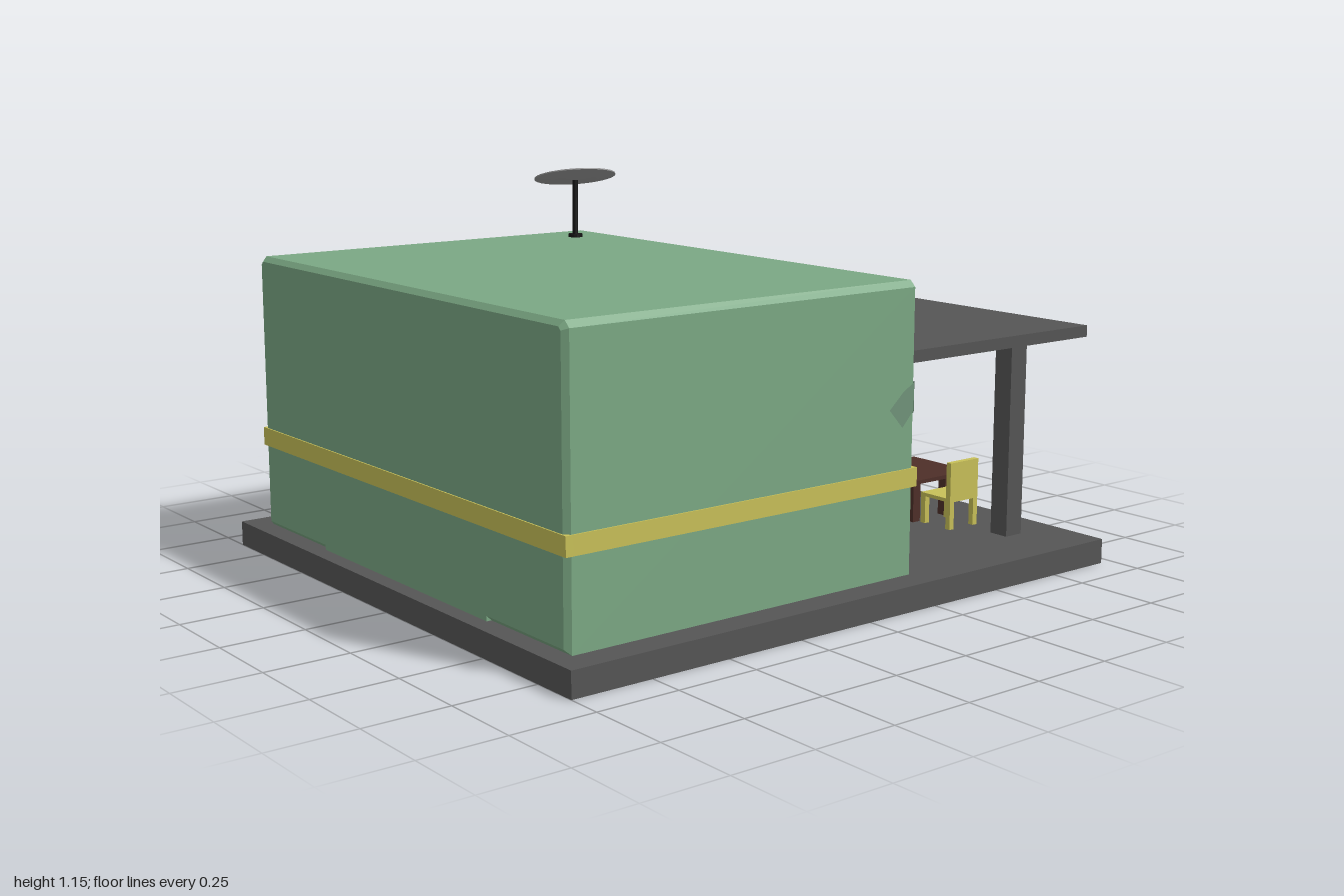
import * as THREE from 'three';

const mat = (color, extra = {}) => new THREE.MeshStandardMaterial({ color, flatShading: true, ...extra });
const M = {
  stone: mat(0x555555), green: mat(0x7ba884), yellow: mat(0xc8c058), wood: mat(0x4e2f28),
  black: mat(0x151515), metal: mat(0x999999, { side: THREE.DoubleSide }),
  patch: mat(0x70937a, { side: THREE.DoubleSide }),
};

function add(parent, name, geometry, material) {
  const mesh = new THREE.Mesh(geometry, material);
  mesh.name = name;
  parent.add(mesh);
  return mesh;
}

// Box given by its extents along each axis
function box(parent, name, material, x0, x1, y0, y1, z0, z1) {
  const mesh = add(parent, name, new THREE.BoxGeometry(x1 - x0, y1 - y0, z1 - z0), material);
  mesh.position.set((x0 + x1) / 2, (y0 + y1) / 2, (z0 + z1) / 2);
  return mesh;
}

function cylinder(parent, name, material, r, h, x, y, z, sides = 16) {
  const mesh = add(parent, name, new THREE.CylinderGeometry(r, r, h, sides), material);
  mesh.position.set(x, y, z);
  return mesh;
}

const polygon = (pts) => new THREE.Shape(pts.map(([x, y]) => new THREE.Vector2(x, y)));

const FLOOR = 0.075;

// Bevelled walls and roof, extruded along x around the doorway
function createBuilding() {
  const g = new THREE.Group();
  g.name = 'building';
  const w = 0.807, top = 0.915, c = 0.018, d = 0.407, dh = 0.637, b = 0.015;
  const outline = polygon([
    [-w, FLOOR], [-d, FLOOR], [-d, dh - c], [-d + c, dh], [d - c, dh], [d, dh - c], [d, FLOOR],
    [w, FLOOR], [w, top - c], [w - c, top], [-w + c, top], [-w, top - c],
  ]);
  const geo = new THREE.ExtrudeGeometry(outline, {
    depth: 1.195 - 2 * b, bevelThickness: b, bevelSize: b, bevelOffset: -b, bevelSegments: 1,
  });
  geo.rotateY(Math.PI / 2).translate(-0.95 + b, 0, 0);
  add(g, 'walls', geo, M.green);
  box(g, 'rearWall', M.green, -0.95, 0.14, FLOOR, 0.66, -0.44, 0.44);

  // Roller shutter in the doorway
  const slats = 14, pitch = (dh - FLOOR) / slats;
  box(g, 'shutterBacking', M.stone, 0.14, 0.18, FLOOR, dh, -d, d);
  for (let i = 0; i < slats; i++) {
    const y = FLOOR + i * pitch;
    box(g, 'shutterSlat', M.stone, 0.17, 0.19, y + 0.003, y + pitch - 0.003, -d, d);
  }

  // Painted band around the walls
  const y0 = 0.33, y1 = 0.385, e = 0.004;
  box(g, 'bandLeftEnd', M.yellow, -0.95 - e, -0.93, y0, y1, -w - e, w + e);
  for (const s of [-1, 1]) {
    const side = [s * (w - 0.02), s * (w + e)].sort((a, b) => a - b);
    const front = [s * (d - e), s * (w + e)].sort((a, b) => a - b);
    box(g, 'bandSide', M.yellow, -0.95 - e, 0.245 + e, y0, y1, ...side);
    box(g, 'bandDoorSide', M.yellow, 0.19, 0.245 + e, y0, y1, ...front);
  }
  return g;
}

// Worn patches lying on the walls near the corners
function createPatches() {
  const g = new THREE.Group();
  g.name = 'wallPatches';
  const corner = [[0.14, 0.56], [0.19, 0.605], [0.232, 0.63], [0.232, 0.55], [0.19, 0.505]];
  for (const z of [-0.809, 0.809])
    add(g, 'cornerPatch', new THREE.ShapeGeometry(polygon(corner)), M.patch).position.z = z;
  const sidePatches = [
    [[0.795, 0.63], [0.74, 0.59], [0.7, 0.505], [0.745, 0.5], [0.795, 0.54]],
    [[0.78, 0.325], [0.55, 0.325], [0.55, 0.25], [0.62, 0.25], [0.68, 0.195], [0.78, 0.21]],
    [[-0.725, 0.58], [-0.76, 0.615], [-0.795, 0.63], [-0.795, 0.525], [-0.735, 0.555]],
  ];
  for (const pts of sidePatches) {
    const geo = new THREE.ShapeGeometry(polygon(pts.map(([z, y]) => [-z, y])));
    add(g, 'sidePatch', geo.rotateY(Math.PI / 2), M.patch).position.x = 0.247;
  }
  return g;
}

// Vent, low grille and pipe on the back wall
function createBackFittings() {
  const g = new THREE.Group();
  g.name = 'backFittings';
  box(g, 'ventBox', M.metal, -0.9, -0.705, 0.73, 0.865, -0.838, -0.8);
  for (let i = 0; i < 4; i++) {
    const y = 0.75 + i * 0.026;
    box(g, 'ventSlot', M.black, -0.88, -0.725, y, y + 0.017, -0.841, -0.83);
  }
  box(g, 'grilleFrame', M.stone, -0.505, -0.275, 0.085, 0.165, -0.813, -0.8);
  box(g, 'grilleOpening', M.black, -0.49, -0.29, 0.1, 0.15, -0.816, -0.805);
  cylinder(g, 'pipeFlange', M.stone, 0.024, 0.012, 0.175, 0.118, -0.812).rotation.x = Math.PI / 2;
  cylinder(g, 'pipe', M.stone, 0.013, 0.04, 0.175, 0.118, -0.82).rotation.x = Math.PI / 2;
  return g;
}

// Tilted shallow dish on a pole
function createDish() {
  const g = new THREE.Group();
  g.name = 'roofDish';
  g.position.set(0.107, 0.915, -0.643);
  cylinder(g, 'dishBase', M.black, 0.024, 0.01, 0, 0.005, 0);
  cylinder(g, 'dishPole', M.black, 0.009, 0.2, 0, 0.1, 0, 12);
  const profile = [[0, -0.008], [0.07, -0.005], [0.133, 0.003], [0.133, 0.007], [0.07, -0.001], [0, -0.004]];
  const dish = add(g, 'dish', new THREE.LatheGeometry(profile.map(([r, y]) => new THREE.Vector2(r, y)), 32), M.metal);
  dish.position.y = 0.193;
  dish.quaternion.setFromUnitVectors(new THREE.Vector3(0, 1, 0), new THREE.Vector3(0.1, 1, -0.26).normalize());
  return g;
}

function createTable(x, z) {
  const g = new THREE.Group();
  g.name = 'table';
  g.position.set(x, FLOOR, z);
  box(g, 'tableTop', M.wood, -0.123, 0.123, 0.132, 0.144, -0.123, 0.123);
  for (const sx of [-0.07, 0.07]) for (const sz of [-0.07, 0.07])
    box(g, 'tableLeg', M.wood, sx - 0.015, sx + 0.015, 0, 0.132, sz - 0.015, sz + 0.015);
  return g;
}

// Chair with its back at the local origin, facing +z before turning
function createChair(x, z, turn) {
  const g = new THREE.Group();
  g.name = 'chair';
  g.position.set(x, FLOOR, z);
  g.rotation.y = turn;
  const h = 0.06;
  box(g, 'chairBack', M.yellow, -h, h, 0.09, 0.21, -0.009, 0.009);
  box(g, 'chairSeat', M.yellow, -h, h, 0.086, 0.097, -0.009, 0.116);
  for (const sx of [-h, h - 0.018]) for (const z0 of [-0.009, 0.097])
    box(g, 'chairLeg', M.yellow, sx, sx + 0.018, 0, 0.09, z0, z0 + 0.018);
  return g;
}

export function createModel() {
  const model = new THREE.Group();
  model.name = 'smallCafe';
  box(model, 'baseSlab', M.stone, -1, 0.96, 0, FLOOR, -0.895, 0.895);
  model.add(createBuilding(), createPatches(), createBackFittings(), createDish());

  // Canopy on two posts
  box(model, 'canopy', M.stone, 0.24, 1, 0.675, 0.71, -0.772, 0.772);
  for (const z of [-0.675, 0.667])
    box(model, 'canopyPost', M.stone, 0.75, 0.815, FLOOR, 0.675, z - 0.032, z + 0.032);

  // Seating
  model.add(
    createTable(0.733, 0.318), createChair(0.73, 0.107, 0),
    createChair(0.73, 0.53, Math.PI), createChair(0.54, 0.307, Math.PI / 2),
    createTable(0.592, -0.422), createChair(0.59, -0.64, 0), createChair(0.405, -0.435, Math.PI / 2),
  );
  return model;
}
